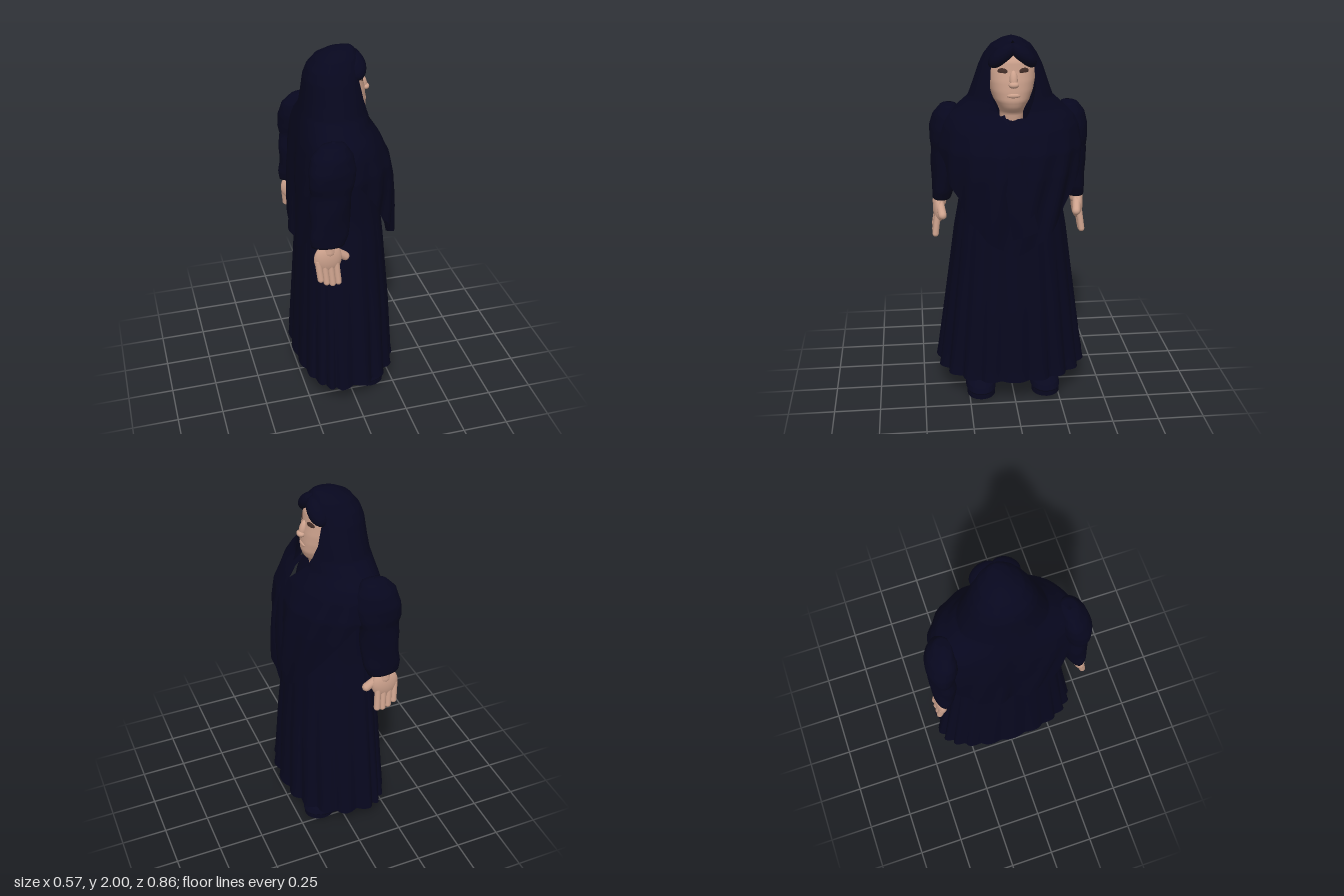
import * as THREE from 'three';
import { mergeVertices } from 'three/addons/utils/BufferGeometryUtils.js';

const mat = (name, color, side = THREE.FrontSide) => {
  const m = new THREE.MeshStandardMaterial({ color, side });
  m.name = name;
  return m;
};

// Linear lookup in a table whose rows start with a descending y
function sample(table, y) {
  let i = 0;
  while (i < table.length - 2 && y < table[i + 1][0]) i++;
  const a = table[i], b = table[i + 1];
  const t = THREE.MathUtils.clamp((a[0] - y) / (a[0] - b[0]), 0, 1);
  return a.map((v, k) => v + (b[k] - v) * t);
}

// Smooth surface from a rule (u around, v downwards)
function surface(fn, cols, rows) {
  const pos = [], idx = [];
  for (let i = 0; i <= rows; i++)
    for (let j = 0; j <= cols; j++) pos.push(...fn(j / cols, i / rows));
  for (let i = 0; i < rows; i++)
    for (let j = 0; j < cols; j++) {
      const a = i * (cols + 1) + j, c = a + cols + 1;
      idx.push(a, a + 1, c, a + 1, c + 1, c);
    }
  let g = new THREE.BufferGeometry();
  g.setAttribute('position', new THREE.Float32BufferAttribute(pos, 3));
  g.setIndex(idx);
  g = mergeVertices(g, 1e-5);
  g.computeVertexNormals();
  return g;
}

// Egg-shaped cross-section: front and back reach differ about the widest point xm
function section(th, front, back, xm, hz, nFront = 2.2, nBack = nFront) {
  const c = Math.cos(th), s = Math.sin(th), n = c > 0 ? nFront : nBack;
  const pw = v => Math.sign(v) * Math.abs(v) ** (2 / n);
  return [xm + (c > 0 ? front - xm : xm - back) * pw(c), hz * pw(s)];
}

// Loft rows of [y, front, back, widest x, half width]
function loft(table, { cols = 32, rows = 40, cz = 0 } = {}) {
  const top = table[0][0], low = table[table.length - 1][0];
  return surface((u, v) => {
    const [y, f, b, xm, hz] = sample(table, top + (low - top) * v);
    const [x, z] = section(u * Math.PI * 2, f, b, xm, hz);
    return [x, y, z + cz];
  }, cols, rows);
}

export function createModel() {
  const model = new THREE.Group();
  const navy = mat('navy cloth', 0x07071e, THREE.DoubleSide);
  const leather = mat('navy leather', 0x08081f);
  const skin = mat('skin', 0xcda28d);
  const stocking = mat('brown stocking', 0x7c5b4b);
  const eyeDark = mat('dark eye', 0x46302a);

  const add = (name, geo, material, parent = model) => {
    const m = new THREE.Mesh(geo, material);
    m.name = name;
    parent.add(m);
    return m;
  };
  const ball = (name, material, p, r, parent = model) => {
    const m = add(name, new THREE.SphereGeometry(1, 24, 16), material, parent);
    m.position.set(...p);
    m.scale.set(...r);
    return m;
  };
  const limb = (name, material, a, b, r, parent) => {
    const A = new THREE.Vector3(...a), d = new THREE.Vector3(...b).sub(A);
    const m = add(name, new THREE.CapsuleGeometry(r, d.length(), 5, 12), material, parent);
    m.position.copy(A).addScaledVector(d, 0.5);
    m.quaternion.setFromUnitVectors(new THREE.Vector3(0, 1, 0), d.normalize());
  };

  // Long pleated dress
  const dress = [
    [1.58, 0.08, -0.18, -0.08, 0.2], [1.5, 0.12, -0.2, -0.08, 0.26], [1.3, 0.17, -0.22, -0.08, 0.27],
    [1.1, 0.205, -0.23, -0.08, 0.28], [0.95, 0.22, -0.238, -0.08, 0.307],
    [0.55, 0.25, -0.258, -0.085, 0.357], [0.18, 0.265, -0.275, -0.09, 0.402], [0.15, 0.27, -0.278, -0.09, 0.407],
  ];
  add('dress', surface((u, v) => {
    const th = u * Math.PI * 2;
    const y = 1.58 - 1.43 * v;
    const [, f, b, xm, hz] = sample(dress, y);
    const [x, z] = section(th, f, b, xm, hz, 2.35, 2.15);
    const k = 1 + 0.075 * v * v * (Math.abs(Math.cos(10 * th + 0.25 * Math.sin(3 * th))) - 0.4);
    return [xm + (x - xm) * k, y - 0.01 * v * Math.cos(th), z * k];
  }, 200, 40), navy);

  // Hood and shawl in one cloth: [y, front, back, widest x, half width, half face opening]
  const cloth = [
    [2.0, 0.021, 0.019, 0.02, 0.0005, 0], [1.997, 0.055, -0.03, 0.02, 0.02, 0], [1.985, 0.07, -0.07, 0, 0.055, 0],
    [1.95, 0.09, -0.13, -0.03, 0.105, 0.035], [1.9, 0.105, -0.17, -0.05, 0.14, 0.08],
    [1.85, 0.102, -0.188, -0.05, 0.165, 0.112], [1.75, 0.117, -0.2, -0.05, 0.2, 0.12],
    [1.68, 0.13, -0.21, -0.06, 0.225, 0.105], [1.62, 0.14, -0.222, -0.08, 0.29, 0.08],
    [1.58, 0.165, -0.23, -0.09, 0.342, 0.045], [1.53, 0.2, -0.24, -0.1, 0.37, 0],
    [1.42, 0.25, -0.255, -0.1, 0.392, 0], [1.3, 0.27, -0.265, -0.1, 0.385, 0],
    [1.1, 0.28, -0.272, -0.1, 0.365, 0], [0.85, 0.285, -0.275, -0.1, 0.34, 0],
  ];
  add('shawl', surface((u, v) => {
    const s = Math.abs(Math.sin(u * Math.PI * 2)), front = Math.cos(u * Math.PI * 2) > 0;
    const hem = front ? 0.88 + 0.2 * s + 0.36 * s ** 4 : 0.91 + 0.09 * s + 0.44 * s ** 4;
    const y = 2 - (2 - hem) * v ** 1.25;
    const [, f, b, xm, hz, gap] = sample(cloth, y);
    const a0 = Math.asin(Math.min(1, (gap / hz) ** 1.1));
    const th = a0 + u * (Math.PI * 2 - 2 * a0);
    let [x, z] = section(th, f, b, xm, hz, 2.15);
    // Hanging folds, strongest towards the hem
    const low = THREE.MathUtils.smoothstep(1.62 - y, 0, 0.45);
    const k = 1 + 0.026 * low * Math.sin(15 * th + 9 * y);
    x = xm + (x - xm) * k;
    x -= 0.028 * low * Math.exp(-((z / 0.05) ** 2)) * Math.sign(Math.cos(th));
    return [x, y, z * k];
  }, 180, 90), navy);

  // Overlapping scarf end down the chest
  const end = [[0.1, 1.6, 0.07], [0.187, 1.53, 0.05], [0.24, 1.42, 0.03], [0.262, 1.3, 0.01],
    [0.277, 1.15, -0.02], [0.281, 1.0, -0.05]].map(p => new THREE.Vector3(...p));
  const endPath = new THREE.CatmullRomCurve3(end);
  add('scarfEnd', surface((u, v) => {
    const p = endPath.getPoint(v), w = (u - 0.5) * (0.05 + 0.09 * v);
    return [p.x + 0.004 - 2.5 * w * w, p.y + 0.3 * w, p.z - w];
  }, 10, 24), navy);

  // Head
  const head = new THREE.Group();
  head.name = 'head';
  model.add(head);
  add('face', loft([
    [1.96, 0.04, -0.05, 0, 0.05], [1.92, 0.085, -0.09, 0, 0.1], [1.88, 0.107, -0.1, 0, 0.117],
    [1.83, 0.113, -0.1, 0, 0.124], [1.78, 0.124, -0.1, 0, 0.122], [1.73, 0.13, -0.1, 0, 0.113],
    [1.68, 0.132, -0.09, 0, 0.096], [1.645, 0.12, -0.08, 0, 0.075], [1.61, 0.09, -0.07, 0, 0.062],
    [1.54, 0.08, -0.07, 0, 0.06],
  ], { rows: 42 }), skin, head);
  const nose = ball('nose', skin, [0.12, 1.795, 0], [0.02, 0.046, 0.021], head);
  nose.rotation.z = 0.28;
  ball('noseTip', skin, [0.133, 1.769, 0], [0.021, 0.017, 0.027], head);
  ball('lips', skin, [0.122, 1.712, 0], [0.014, 0.014, 0.036], head);
  for (const s of [1, -1]) {
    const eye = ball('eye', eyeDark, [0.1, 1.835, s * 0.055], [0.005, 0.016, 0.027], head);
    eye.rotation.y = -s * 0.4;
    const fringe = ball('hairFringe', navy, [0.062, 1.908, s * 0.054], [0.056, 0.044, 0.085], head);
    fringe.rotation.x = s * 0.69;
  }

  for (const s of [1, -1]) {
    const arm = new THREE.Group();
    arm.name = s > 0 ? 'leftSideArm' : 'rightSideArm';
    model.add(arm);

    // Puffed sleeve: [y, centre x, radius x, centre z, radius z]
    const sleeve = [
      [1.632, -0.12, 0.01, 0.32, 0.01], [1.62, -0.12, 0.065, 0.325, 0.045], [1.57, -0.13, 0.105, 0.338, 0.07],
      [1.5, -0.137, 0.12, 0.35, 0.08], [1.43, -0.14, 0.115, 0.355, 0.077], [1.38, -0.14, 0.103, 0.355, 0.069],
      [1.3, -0.147, 0.108, 0.355, 0.07], [1.2, -0.153, 0.1, 0.36, 0.064], [1.14, -0.158, 0.1, 0.365, 0.06],
      [1.09, -0.163, 0.086, 0.372, 0.05], [1.1, -0.163, 0.03, 0.375, 0.02],
    ];
    add('sleeve', surface((u, v) => {
      const q = v * (sleeve.length - 1), i = Math.min(Math.floor(q), sleeve.length - 2);
      const [y, cx, rx, cz, rz] = sleeve[i].map((a, k) => a + (sleeve[i + 1][k] - a) * (q - i));
      const th = u * Math.PI * 2;
      const k = 1 + 0.035 * Math.sin(3 * th * s + 22 * y);
      return [cx + rx * k * Math.cos(th), y, s * cz + rz * k * Math.sin(th)];
    }, 36, 40), navy, arm);

    // Hand with four fingers and a thumb
    limb('wrist', skin, [-0.165, 1.13, s * 0.375], [-0.165, 1.06, s * 0.385], 0.038, arm);
    ball('palm', skin, [-0.17, 1.02, s * 0.39], [0.074, 0.083, 0.032], arm);
    for (let i = 0; i < 4; i++) {
      const x = -0.224 + i * 0.031, tip = [0.91, 0.888, 0.878, 0.882][i];
      limb('finger', skin, [x, 1.01, s * 0.395], [x + 0.01, tip, s * 0.412], 0.0175, arm);
    }
    limb('thumb', skin, [-0.13, 1.05, s * 0.382], [-0.075, 1.005, s * 0.372], 0.023, arm);

    // Leg and heeled shoe
    const foot = new THREE.Group();
    foot.name = s > 0 ? 'leftSideFoot' : 'rightSideFoot';
    model.add(foot);
    limb('leg', stocking, [-0.02, 0.08, s * 0.17], [-0.03, 0.6, s * 0.16], 0.06, foot);
    add('shoe', loft([
      [0.125, -0.08, -0.1, -0.09, 0.025], [0.118, -0.02, -0.108, -0.06, 0.05], [0.1, 0.07, -0.108, -0.02, 0.062],
      [0.085, 0.14, -0.106, 0.02, 0.07], [0.06, 0.19, -0.103, 0.06, 0.08], [0.035, 0.208, -0.1, 0.08, 0.084],
      [0.024, 0.2, -0.09, 0.08, 0.08], [0.022, 0.06, 0.04, 0.05, 0.01],
    ], { cz: s * 0.183 }), leather, foot);
    const sole = add('sole', new THREE.CylinderGeometry(1, 1, 0.028, 28), leather, foot);
    sole.position.set(0.115, 0.014, s * 0.183);
    sole.scale.set(0.088, 1, 0.078);
    const heel = add('heel', new THREE.CylinderGeometry(0.055, 0.048, 0.04, 20), leather, foot);
    heel.position.set(-0.048, 0.02, s * 0.18);
  }
  return model;
}
